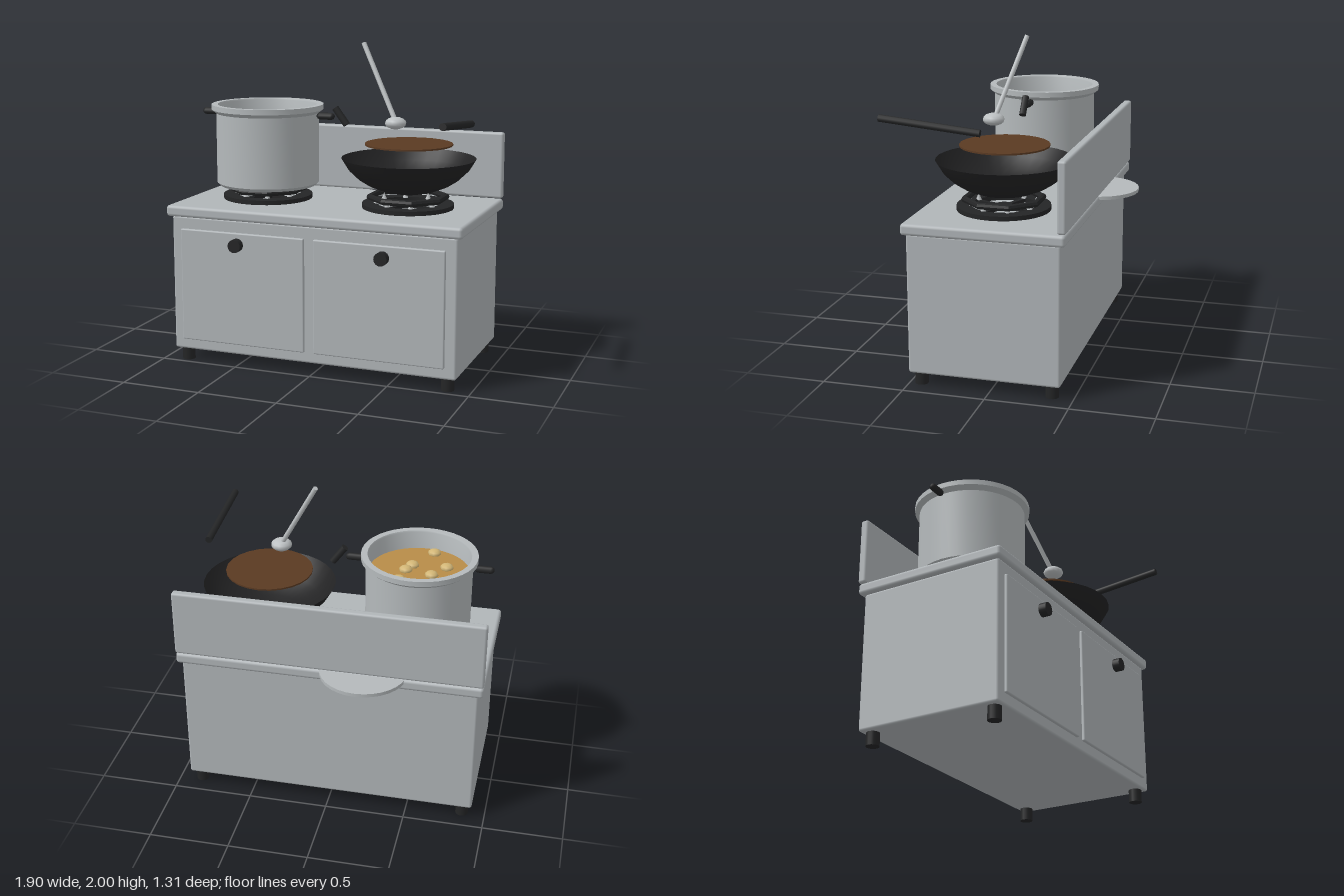
import * as THREE from 'three';
import { toCreasedNormals } from 'three/addons/utils/BufferGeometryUtils.js';
import { RoundedBoxGeometry } from 'three/addons/geometries/RoundedBoxGeometry.js';

const mat = (name, color, side = THREE.FrontSide) => {
  const m = new THREE.MeshStandardMaterial({ color, side });
  m.name = name;
  return m;
};

export function createModel() {
  const steel = mat('brushed steel', 0xb0b5b8);
  const potSteel = mat('pot steel', 0xb4b9bb);
  const ladleSteel = mat('ladle steel', 0xbcc0c2);
  const black = mat('black plastic', 0x242526);
  const iron = mat('wok iron', 0x222223, THREE.DoubleSide);
  const broth = mat('broth', 0xb88c48);
  const dumplingDough = mat('dumpling dough', 0xd2b676);
  const sauceBrown = mat('brown sauce', 0x5a3a22);

  const model = new THREE.Group();
  model.name = 'stove';

  const add = (name, geometry, material, x = 0, y = 0, z = 0, parent = model) => {
    const mesh = new THREE.Mesh(geometry, material);
    mesh.name = name;
    mesh.position.set(x, y, z);
    parent.add(mesh);
    return mesh;
  };
  // Rounded box given by its extents
  const box = (name, x0, x1, y0, y1, z0, z1, r) =>
    add(name, new RoundedBoxGeometry(x1 - x0, y1 - y0, z1 - z0, 2, r), steel,
      (x0 + x1) / 2, (y0 + y1) / 2, (z0 + z1) / 2);
  // Straight rod between two points
  const rod = (name, a, b, r, material, sides = 10) => {
    const p = new THREE.Vector3(...a), q = new THREE.Vector3(...b);
    const dir = q.clone().sub(p);
    const mesh = add(name, new THREE.CylinderGeometry(r, r, dir.length(), sides), material);
    mesh.position.copy(p.add(q).multiplyScalar(0.5));
    mesh.quaternion.setFromUnitVectors(new THREE.Vector3(0, 1, 0), dir.normalize());
    return mesh;
  };
  const lathe = (points, segments, crease = 0.6) => toCreasedNormals(
    new THREE.LatheGeometry(points.map(p => new THREE.Vector2(...p)), segments), crease);

  // Cabinet, worktop and splashback
  box('cabinet', -0.92, 0.92, 0.08, 0.935, -0.43, 0.49, 0.015);
  box('worktop', -0.95, 0.95, 0.93, 1.0, -0.46, 0.515, 0.02);
  box('splashback', -0.95, 0.95, 1.005, 1.425, -0.465, -0.412, 0.015);

  // Doors, knobs and feet
  box('rightDoor', -0.855, -0.033, 0.148, 0.857, 0.47, 0.508, 0.008);
  box('leftDoor', 0.028, 0.85, 0.148, 0.857, 0.47, 0.508, 0.008);
  for (const s of [-1, 1]) {
    add('knob', new THREE.CylinderGeometry(0.041, 0.041, 0.06, 16), black, s * 0.47, 0.785, 0.525)
      .rotation.x = Math.PI / 2;
    for (const z of [0.43, -0.37]) {
      add('foot', new THREE.CylinderGeometry(0.04, 0.04, 0.08, 16), black, s * 0.855, 0.04, z);
    }
  }

  // Burners: base ring, spokes, octagonal grate and prongs
  for (const x of [-0.472, 0.468]) {
    const burner = new THREE.Group();
    burner.name = 'burner';
    burner.position.set(x, 0, 0.03);
    model.add(burner);
    const ring = [[0.195, 0.998], [0.283, 0.998], [0.283, 1.027], [0.195, 1.027], [0.195, 0.998]];
    add('baseRing', lathe(ring, 32), black, 0, 0, 0, burner);
    add('burnerCap', new THREE.CylinderGeometry(0.05, 0.05, 0.03, 16), black, 0, 1.013, 0, burner);
    const grate = new THREE.TorusGeometry(0.235, 0.02, 8, 8);
    grate.rotateX(Math.PI / 2).rotateY(Math.PI / 8);
    add('grate', toCreasedNormals(grate, 0.7), black, 0, 1.065, 0, burner);
    for (let i = 0; i < 8; i++) {
      const arm = new THREE.Group();
      arm.name = 'arm';
      arm.rotation.y = (i + 0.5) * Math.PI / 4;
      burner.add(arm);
      add('prong', new THREE.ConeGeometry(0.018, 0.045, 8), ladleSteel, 0.195, 1.045, 0, arm);
      if (i % 2) add('spoke', new THREE.BoxGeometry(0.19, 0.02, 0.025), black, 0.11, 1.012, 0, arm);
    }
  }

  // Stock pot
  const px = -0.472, pz = 0.025;
  add('pot', lathe([[0, 1.085], [0.305, 1.085], [0.325, 1.105], [0.325, 1.545], [0.354, 1.568],
    [0.354, 1.6], [0.315, 1.6], [0.31, 1.59], [0.31, 1.12], [0, 1.12]], 40), potSteel, px, 0, pz);
  add('broth', new THREE.CylinderGeometry(0.309, 0.309, 0.03, 40), broth, px, 1.465, pz);
  for (const s of [-1, 1]) {
    const grip = add('potHandle', new THREE.CapsuleGeometry(0.022, 0.075, 3, 10), black,
      px + s * 0.395, 1.537, pz);
    grip.rotation.z = Math.PI / 2;
  }
  // Dumplings floating in the broth
  const spots = [[-0.53, -0.23], [-0.37, -0.11], [-0.553, -0.015], [-0.39, 0.02],
    [-0.42, 0.087], [-0.63, 0.097], [-0.528, 0.27]];
  for (const [x, z] of spots) {
    add('dumpling', new THREE.SphereGeometry(0.042, 8, 6), dumplingDough, x, 1.487, z).scale.y = 0.6;
  }

  // Lid slotted behind the worktop
  add('lid', new THREE.CylinderGeometry(0.27, 0.27, 0.022, 32), potSteel, -0.215, 0.986, -0.385);

  // Wok with its sauce and handles
  const wx = 0.468, wz = 0.023;
  add('wok', lathe([[0, 1.086], [0.08, 1.087], [0.17, 1.108], [0.25, 1.14], [0.31, 1.178],
    [0.37, 1.235], [0.413, 1.305]], 32, 1), iron, wx, 0, wz);
  add('sauce', new THREE.CylinderGeometry(0.27, 0.27, 0.01, 24), sauceBrown, wx, 1.39, wz);
  rod('wokSideHandle', [-0.012, 1.592, 0.027], [0.064, 1.49, 0.027], 0.022, black);
  rod('wokLongHandle', [0.865, 1.536, 0.05], [0.865, 1.593, 0.653], 0.022, black);

  // Ladle
  add('ladleBowl', new THREE.SphereGeometry(0.066, 12, 8), ladleSteel, 0.41, 1.527, 0.108).scale.y = 0.57;
  rod('ladleHandle', [0.405, 1.54, 0.1], [0.155, 1.993, -0.028], 0.015, ladleSteel);

  return model;
}
